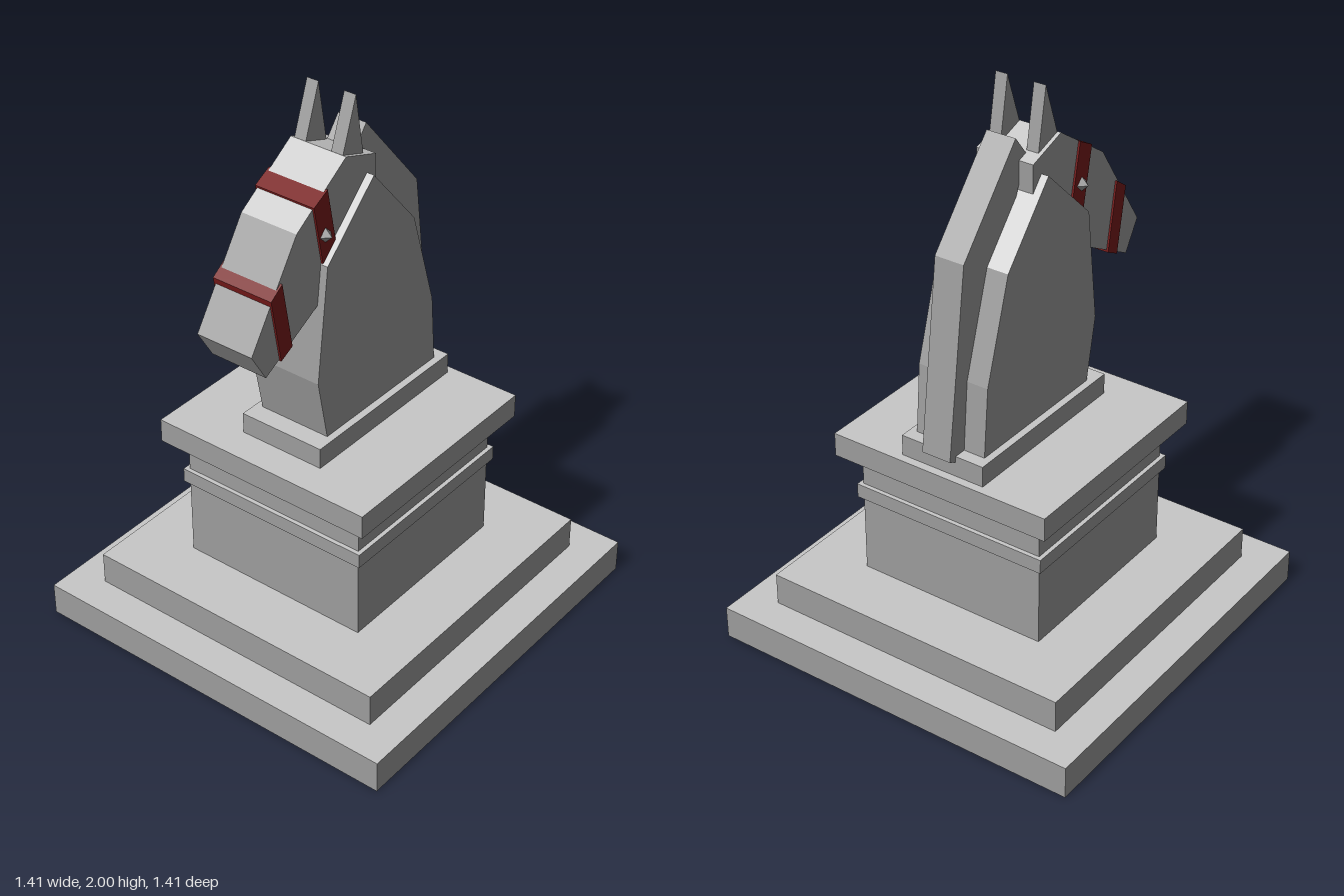
import * as THREE from 'three';

export function createModel() {
  const model = new THREE.Group();
  function paint(name, color) {
    const material = new THREE.MeshStandardMaterial({ color, side: THREE.DoubleSide });
    material.name = name;
    return material;
  }
  const stone = paint('grey stone', 0x9c9c9c);
  const paleStone = paint('pale stone', 0xc8c8c8);
  const leather = paint('dark red', 0x781a1a);

  function add(name, geometry, material = stone) {
    const mesh = new THREE.Mesh(geometry, material);
    mesh.name = name;
    model.add(mesh);
    return mesh;
  }

  // Stone part whose upward faces are pale
  function addWithPaleTop(name, source) {
    const geometry = source.index ? source.toNonIndexed() : source;
    const { position, normal } = geometry.attributes;
    geometry.clearGroups();
    for (let i = 0; i < position.count; i += 3) {
      geometry.addGroup(i, 3, normal.getY(i) > 0.6 ? 1 : 0);
    }
    return add(name, geometry, [stone, paleStone]);
  }

  // Box resting between two heights
  function block(name, width, y0, y1, depth = width, z = 0) {
    const box = new THREE.BoxGeometry(width, y1 - y0, depth);
    addWithPaleTop(name, box).position.set(0, (y0 + y1) / 2, z);
  }

  // Side profile given as [z, y] points, extruded across x
  function profile(points, width) {
    const shape = new THREE.Shape(points.map(([z, y]) => new THREE.Vector2(z, y)));
    const geometry = new THREE.ExtrudeGeometry(shape, { depth: width, bevelEnabled: false });
    geometry.translate(0, 0, -width / 2);
    geometry.rotateY(-Math.PI / 2);
    return geometry;
  }

  // Hollow base step: a box without its bottom face
  const base = new THREE.BoxGeometry(1.406, 0.119, 1.406);
  base.setIndex([...base.index.array].filter((_, i) => i < 18 || i >= 24));
  addWithPaleTop('baseStep', base).position.y = 0.0595;

  // Pedestal
  block('upperStep', 1.156, 0.12, 0.238);
  block('pedestalShaft', 0.716, 0.238, 0.702);
  block('pedestalBand', 0.746, 0.528, 0.58);
  block('pedestalCap', 0.842, 0.702, 0.788);
  block('bustPlinth', 0.322, 0.788, 0.863, 0.695, -0.043);

  // Horse bust
  addWithPaleTop('neck', profile([[0.235, 0.86], [0.28, 1.09], [0.23, 1.5], [0, 1.72],
    [-0.215, 1.47], [-0.325, 1.11], [-0.345, 0.86]], 0.27));
  addWithPaleTop('head', profile([[0.105, 1.82], [0.345, 1.66], [0.565, 1.33], [0.5, 1.223],
    [0.24, 1.362], [0.12, 1.43], [-0.045, 1.66], [-0.045, 1.768]], 0.216));
  add('mane', profile([[-0.063, 1.85], [-0.335, 1.53], [-0.421, 0.855], [-0.37, 0.833],
    [-0.3, 0.86], [-0.2, 1.4], [-0.06, 1.65], [-0.008, 1.78]], 0.11));

  // Bridle straps
  add('browStrap', profile([[0.27, 1.718], [0.203, 1.753], [0.135, 1.41], [0.202, 1.375]], 0.23), leather);
  add('noseStrap', profile([[0.477, 1.488], [0.423, 1.526], [0.379, 1.28], [0.434, 1.252]], 0.23), leather);

  // Ears and eyes
  for (const side of [1, -1]) {
    add('ear', profile([[0.04, 2], [0, 1.77], [0.107, 1.81]], 0.045)).position.x = side * 0.072;
    add('eye', new THREE.OctahedronGeometry(0.029)).position.set(side * 0.112, 1.6, 0.215);
  }
  return model;
}
